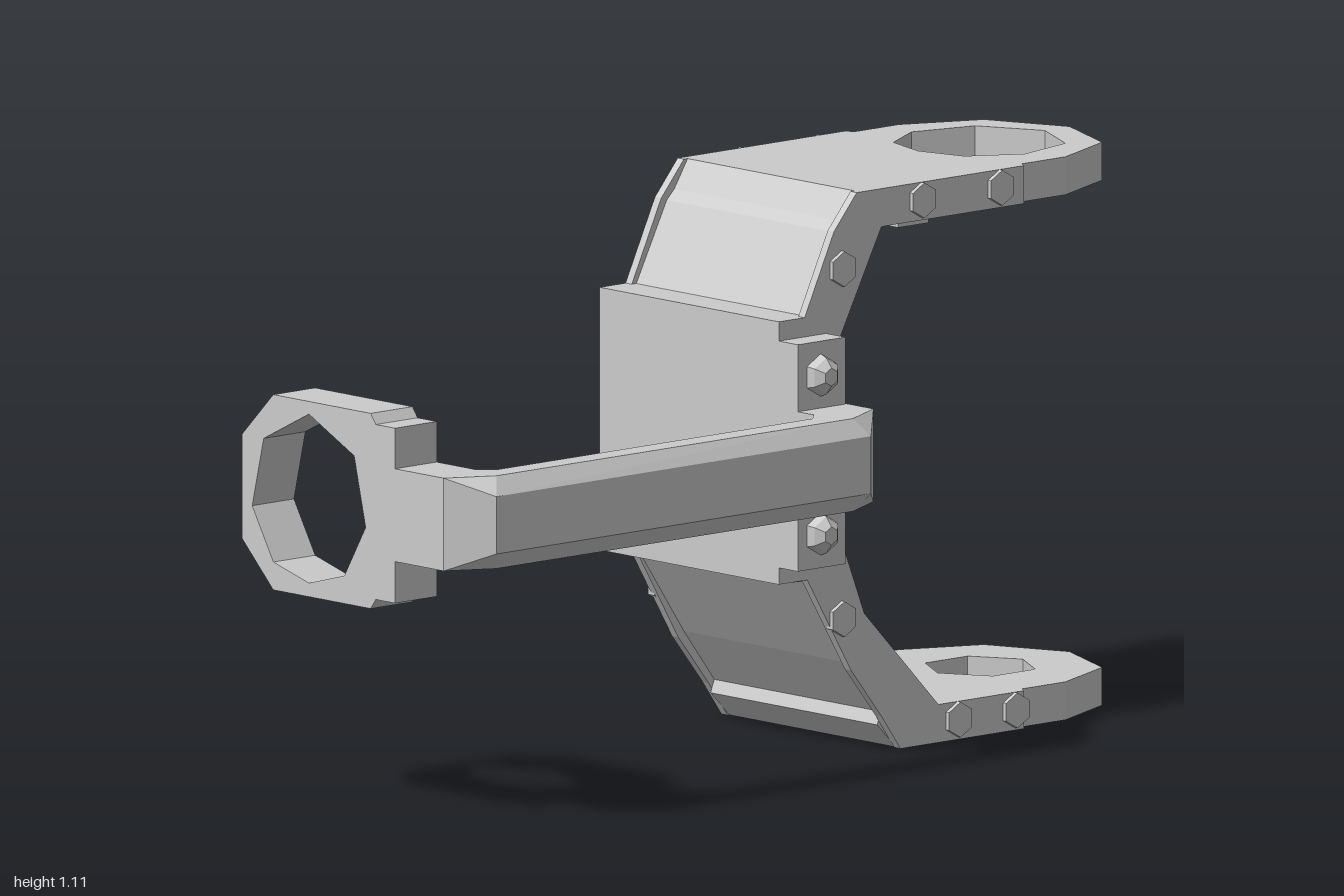
import * as THREE from 'three';

const mat = new THREE.MeshStandardMaterial({ color: 0xcccccc, flatShading: true, side: THREE.DoubleSide });
const CX = -0.0875, HALF = 0.2575;

export function createModel() {
  const root = new THREE.Group();
  const add = (name, geo) => {
    const m = new THREE.Mesh(geo, mat);
    m.name = name;
    root.add(m);
    return m;
  };
  const toShape = (pts) => new THREE.Shape(pts.map(([a, b]) => new THREE.Vector2(a, b)));
  const extrude = (shape, depth) => new THREE.ExtrudeGeometry(shape, { depth, bevelEnabled: false });
  const box = (name, x0, x1, y0, y1, z0, z1) =>
    add(name, new THREE.BoxGeometry(x1 - x0, y1 - y0, z1 - z0)
      .translate((x0 + x1) / 2, (y0 + y1) / 2, (z0 + z1) / 2));

  // irregular eight-sided opening, mirrored from its half outline
  const half = [[0, 0.17], [0.13, 0.105], [0.163, -0.032], [0.102, -0.135], [0, -0.163]];
  const opening = [...half, ...half.slice(1, 4).reverse().map(([a, b]) => [-a, b])];
  const hole = (pts, cx, cy, flip = 1) =>
    new THREE.Path(pts.map(([a, b]) => new THREE.Vector2(cx + a, cy + flip * b)));

  // C-shaped yoke, side profiles as [z, y]
  const inner = [[-0.59, 0.075], [-0.42, 0.075], [-0.225, 0.278], [-0.125, 0.53],
    [-0.125, 0.67], [-0.14, 0.79], [-0.27, 1.035], [-0.59, 1.035]];
  const flangeOuter = [[-0.59, 1.11], [-0.205, 1.11], [-0.145, 1.04], [-0.068, 0.88], [0, 0.88],
    [0, 0.362], [-0.075, 0.362], [-0.19, 0.17], [-0.27, 0.07], [-0.32, 0], [-0.59, 0]];
  const webOuter = [[-0.59, 1.11], [-0.215, 1.11], [-0.18, 1.055], [-0.16, 1.035], [-0.08, 0.88], [0, 0.88],
    [0, 0.362], [-0.085, 0.355], [-0.205, 0.18], [-0.285, 0.075], [-0.275, 0.05], [-0.325, 0], [-0.59, 0]];
  const yoke = (name, outer, xMax, width) =>
    add(name, extrude(toShape([...outer, ...inner]), width).rotateY(-Math.PI / 2).translate(xMax, 0, 0));
  yoke('yokeWeb', webOuter, CX + HALF - 0.018, 2 * HALF - 0.036);
  yoke('leftYokeFlange', flangeOuter, CX + HALF, 0.018);
  yoke('rightYokeFlange', flangeOuter, CX - HALF + 0.018, 0.018);

  // end plates with openings, outlined as [x, z]
  const edge = [[HALF, -0.59], [HALF, -0.645], [0.24, -0.655], [0.24, -0.77], [0.17, -0.93]];
  const plateOutline = [...edge, [0, -1], ...edge.slice().reverse().map(([x, z]) => [-x, z])]
    .map(([x, z]) => [CX + x, z]);
  const hex = Array.from({ length: 6 }, (_, i) =>
    [0.112 * Math.sin(i * Math.PI / 3), 0.112 * Math.cos(i * Math.PI / 3)]);
  const endPlate = (name, yTop, pts) => {
    const s = toShape(plateOutline);
    s.holes.push(hole(pts, CX, -0.765, -1));
    add(name, extrude(s, 0.075).rotateX(Math.PI / 2).translate(0, yTop, 0));
  };
  endPlate('upperEndPlate', 1.11, opening);
  endPlate('lowerEndPlate', 0.075, hex);

  // catch below the upper plate
  box('catchStrip', -0.3, 0.13, 1.018, 1.036, -0.43, -0.35);
  box('catchNeck', -0.33, -0.11, 1.01, 1.036, -0.53, -0.42);
  box('catchBlock', -0.33, -0.11, 0.965, 1.015, -0.53, -0.43);

  // hinge lug carrying the arm
  box('hingeLug', 0.15, 0.225, 0.395, 0.842, -0.125, 0);

  // bolts on both sides: [z, y]
  const bolt = (name, x, y, z, r0, r1, len, side) =>
    add(name, new THREE.CylinderGeometry(r1, r0, len, 6).rotateY(Math.PI / 6)
      .rotateZ(-side * Math.PI / 2).translate(x + side * len / 2, y, z));
  for (const side of [1, -1]) {
    for (const [z, y] of [[-0.165, 0.965], [-0.375, 1.075], [-0.58, 1.075],
      [-0.165, 0.275], [-0.47, 0.04], [-0.62, 0.04]])
      bolt('smallBolt', CX + side * (HALF - 0.01), y, z, 0.035, 0.035, 0.019, side);
    for (const y of [0.775, 0.462]) {
      const x = side > 0 ? 0.225 : CX - HALF;
      bolt('hingeBoltBase', x, y, -0.06, 0.042, 0.036, 0.016, side);
      bolt('hingeBoltHead', x + side * 0.016, y, -0.06, 0.036, 0.018, 0.015, side);
    }
  }

  // front ring plate
  const ring = toShape([[-0.28, 0.515], [-0.19, 0.425], [0.09, 0.425], [0.105, 0.445], [0.16, 0.445],
    [0.16, 0.79], [0.105, 0.79], [0.09, 0.81], [-0.19, 0.81], [-0.28, 0.72]]);
  ring.holes.push(hole(opening, CX, 0.615));
  add('frontRing', extrude(ring, 0.11).translate(0, 0, 0.89));

  // arm: stations of inner x, z, outer x, z and outer chamfer
  const stations = [
    [0.15, 0.89, 0.15, 1, 0], [0.27, 0.89, 0.3, 1, 0], [0.3, 0.86, 0.375, 0.93, 0.035],
    [0.3, 0.03, 0.375, -0.055, 0.035], [0.27, 0, 0.3, -0.13, 0], [0.2, 0, 0.2, -0.13, 0]];
  const Y0 = 0.527, Y1 = 0.71, pos = [], idx = [];
  stations.forEach(([ix, iz, ox, oz, ch], s) => {
    const t = ch / Math.hypot(ox - ix, oz - iz);
    const mx = ox + (ix - ox) * t, mz = oz + (iz - oz) * t;
    pos.push(ix, Y0, iz, mx, Y0, mz, ox, Y0 + ch, oz, ox, Y1 - ch, oz, mx, Y1, mz, ix, Y1, iz);
    if (s === 0) return;
    for (let j = 0; j < 6; j++) {
      const k = (j + 1) % 6, p = (s - 1) * 6, q = s * 6;
      idx.push(p + j, q + j, q + k, p + j, q + k, p + k);
    }
  });
  const arm = new THREE.BufferGeometry();
  arm.setAttribute('position', new THREE.Float32BufferAttribute(pos, 3));
  arm.setIndex(idx);
  arm.computeVertexNormals();
  add('arm', arm);

  return root;
}
